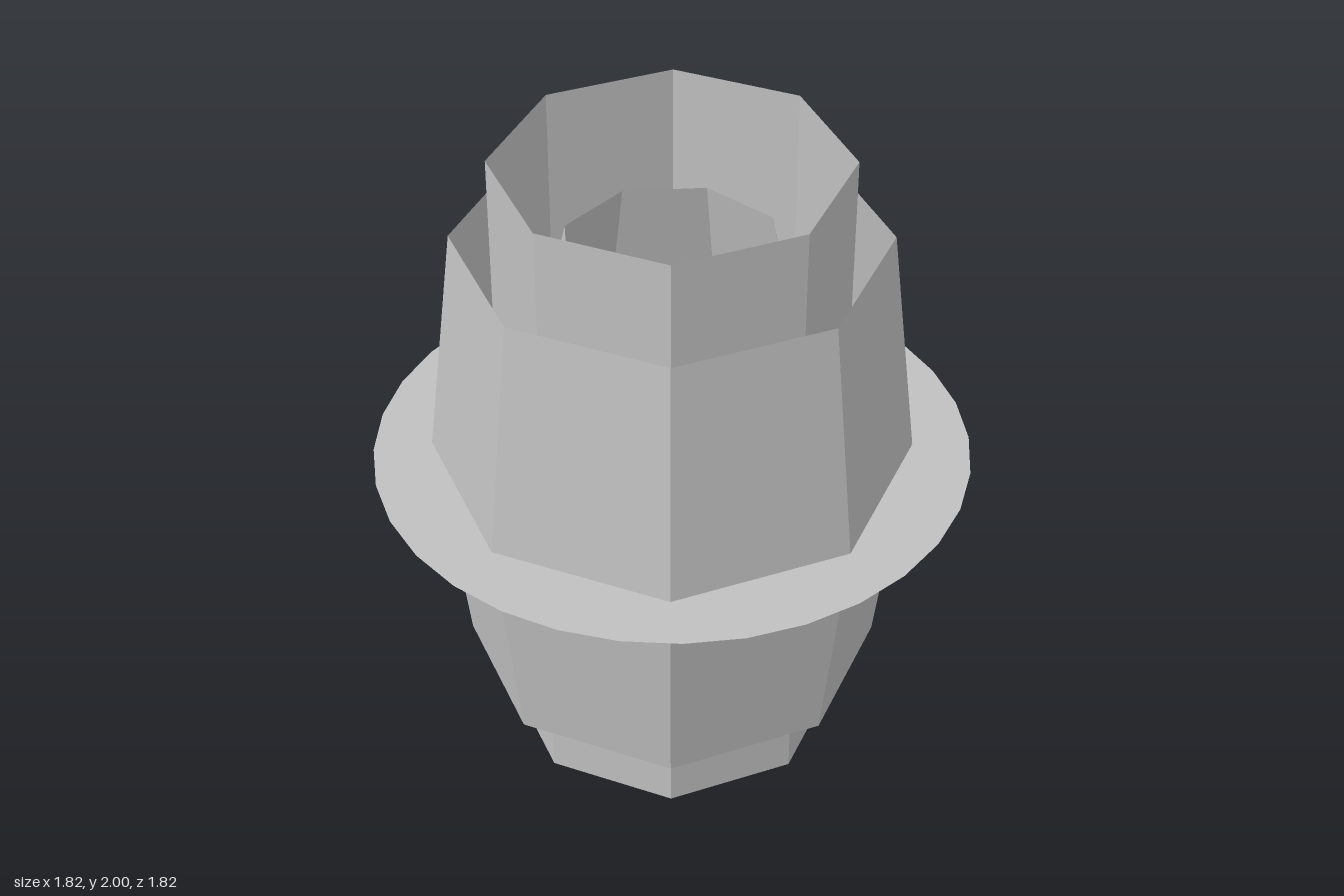
import * as THREE from 'three';

const metal = new THREE.MeshStandardMaterial({ color: 0xc0c0c0, side: THREE.DoubleSide });
metal.name = 'grey metal';

// Open shell of revolution from [radius, height] points, bottom to top
function shell(name, profile, sides, startDegrees, smooth = false) {
  const points = profile.map(([r, y]) => new THREE.Vector2(r, y));
  let geometry = new THREE.LatheGeometry(points, sides, THREE.MathUtils.degToRad(startDegrees));
  if (!smooth) {
    geometry = geometry.toNonIndexed();
    geometry.computeVertexNormals();
  }
  return part(name, geometry);
}

function part(name, geometry) {
  const mesh = new THREE.Mesh(geometry, metal);
  mesh.name = name;
  return mesh;
}

export function createModel() {
  const model = new THREE.Group();
  model.name = 'reactor';

  // Nested eight-sided shells, open at both ends
  model.add(shell('outerBarrel', [[0.645, 0.25], [0.734, 1], [0.645, 1.75]], 8, 9));
  model.add(shell('middleTube', [[0.527, 0], [0.527, 2]], 8, 9));
  model.add(shell('innerBarrel', [[0.33, 0.28], [0.485, 1], [0.33, 1.72]], 8, -9));

  // Flat ring around the waist
  const ring = part('waistRing', new THREE.RingGeometry(0.58, 0.91, 32).rotateX(-Math.PI / 2));
  ring.position.y = 1;
  model.add(ring);

  // Six-sided core: sleeve and faceted centre
  const core = new THREE.Group();
  core.name = 'core';
  core.position.y = 1;
  core.add(shell('coreSleeve', [[0.175, -0.25], [0.255, 0], [0.175, 0.25]], 6, 30, true));
  core.add(part('coreCentre', new THREE.SphereGeometry(0.117, 6, 8).scale(1, 3, 1)));

  // Three ports on the sleeve, with three rods between them
  for (let i = 0; i < 3; i++) {
    const arm = new THREE.Group();
    arm.name = 'coreArm';
    arm.rotation.y = (i * Math.PI * 2) / 3;
    const port = part('port', new THREE.CylinderGeometry(0.063, 0.063, 0.06, 12).rotateX(Math.PI / 2));
    port.position.z = 0.24;
    const rod = part('rod', new THREE.CylinderGeometry(0.008, 0.011, 0.13, 8).rotateX(-Math.PI / 2));
    rod.position.set(0, 0.27, -0.145);
    arm.add(port, rod);
    core.add(arm);
  }
  model.add(core);
  return model;
}
